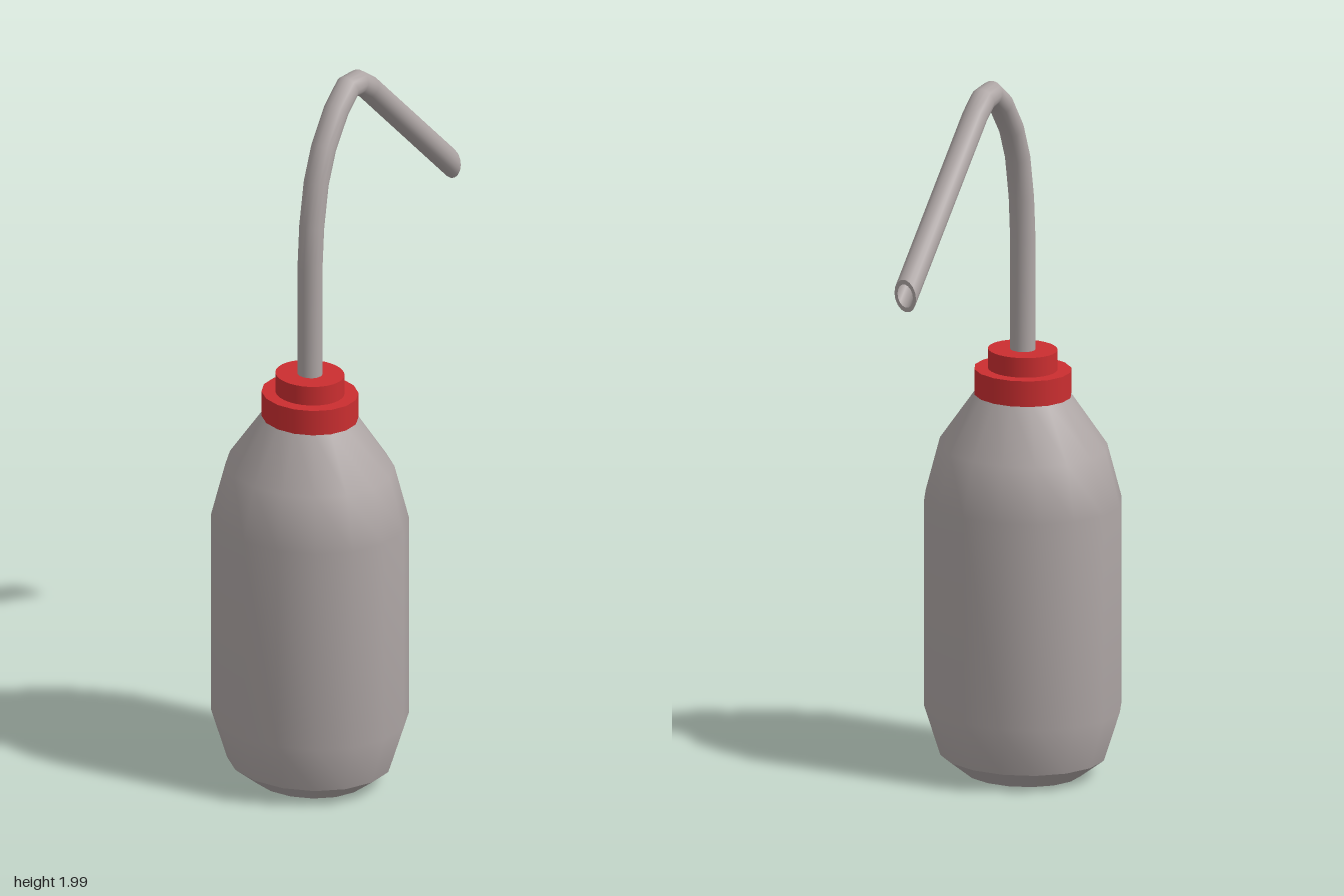
import * as THREE from 'three';

const SIDES = 16, CENTRE_Z = 0.245, SQUASH = 0.9;

export function createModel() {
  const model = new THREE.Group();
  const grey = new THREE.MeshStandardMaterial({ color: 0xaea6a5 });
  grey.name = 'greyPlastic';
  const red = new THREE.MeshStandardMaterial({ color: 0xcb2e30 });
  red.name = 'redPlastic';

  const add = (parent, name, geometry, material) => {
    const mesh = new THREE.Mesh(geometry, material);
    mesh.name = name;
    parent.add(mesh);
    return mesh;
  };

  // Bottle and cap share a slightly oval outline
  const bottle = new THREE.Group();
  bottle.name = 'bottle';
  bottle.position.z = CENTRE_Z;
  bottle.scale.z = SQUASH;
  model.add(bottle);

  const lathe = (points) => new THREE.LatheGeometry(
    points.map(([r, y]) => new THREE.Vector2(r, y)), SIDES, Math.PI / SIDES);
  add(bottle, 'body', lathe([[0.23, 0.05], [0.275, 0.19], [0.275, 0.77], [0.235, 0.92], [0.13, 1.07]]), grey);
  add(bottle, 'baseBevel', lathe([[0.163, 0], [0.23, 0.05]]), grey);
  add(bottle, 'bottom', lathe([[0, 0], [0.163, 0]]), grey);

  const collar = (name, radius, bottom, top, sides) => {
    const geometry = new THREE.CylinderGeometry(radius, radius, top - bottom, sides, 1, false, Math.PI / sides);
    add(bottle, name, geometry, red).position.y = (bottom + top) / 2;
  };
  collar('screwCap', 0.135, 1.063, 1.135, SIDES);
  collar('capNeck', 0.096, 1.13, 1.19, 32);

  // Spout centre line as (z, y), drifting a little sideways towards the tip
  const path = [
    [0.245, 1.15], [0.245, 1.5], [0.236, 1.62], [0.213, 1.74], [0.175, 1.83],
    [0.11, 1.917], [0.05, 1.962], [0, 1.958], [-0.05, 1.925], [-0.479, 1.535],
  ].map(([z, y]) => new THREE.Vector3(-0.018 * (CENTRE_Z - z) / 0.72, y, z));
  const last = path.length - 1;

  // Each ring is [path index, radius]; the tip ring is cut upright
  const sweep = (rings) => {
    const positions = [], index = [];
    rings.forEach(([i, radius], k) => {
      const p = path[i];
      const t = path[Math.min(i + 1, last)].clone().sub(path[Math.max(i - 1, 0)]).normalize();
      const n = new THREE.Vector3(1, 0, 0).cross(t).normalize();
      for (let j = 0; j < SIDES; j++) {
        const a = (j / SIDES) * Math.PI * 2;
        const v = n.clone().multiplyScalar(radius * Math.cos(a));
        v.x += radius * Math.sin(a);
        v.z *= SQUASH;
        v.add(p);
        if (i === last) {
          const target = p.z + 0.12 * (v.x - p.x);
          v.addScaledVector(t, (target - v.z) / t.z);
        }
        positions.push(v.x, v.y, v.z);
        if (k > 0) {
          const next = (j + 1) % SIDES, lo = (k - 1) * SIDES, hi = k * SIDES;
          index.push(lo + j, lo + next, hi + next, lo + j, hi + next, hi + j);
        }
      }
    });
    const geometry = new THREE.BufferGeometry();
    geometry.setAttribute('position', new THREE.Float32BufferAttribute(positions, 3));
    geometry.setIndex(index);
    geometry.computeVertexNormals();
    return geometry;
  };

  // Hollow bent spout: outer wall, rim and bore
  const spout = new THREE.Group();
  spout.name = 'spout';
  model.add(spout);
  const outer = 0.035, inner = 0.025;
  add(spout, 'spoutWall', sweep(path.map((_, i) => [i, outer])), grey);
  add(spout, 'spoutRim', sweep([[last, outer], [last, inner]]), grey);
  add(spout, 'spoutBore', sweep(path.map((_, i) => [last - i, inner])), grey);

  return model;
}
